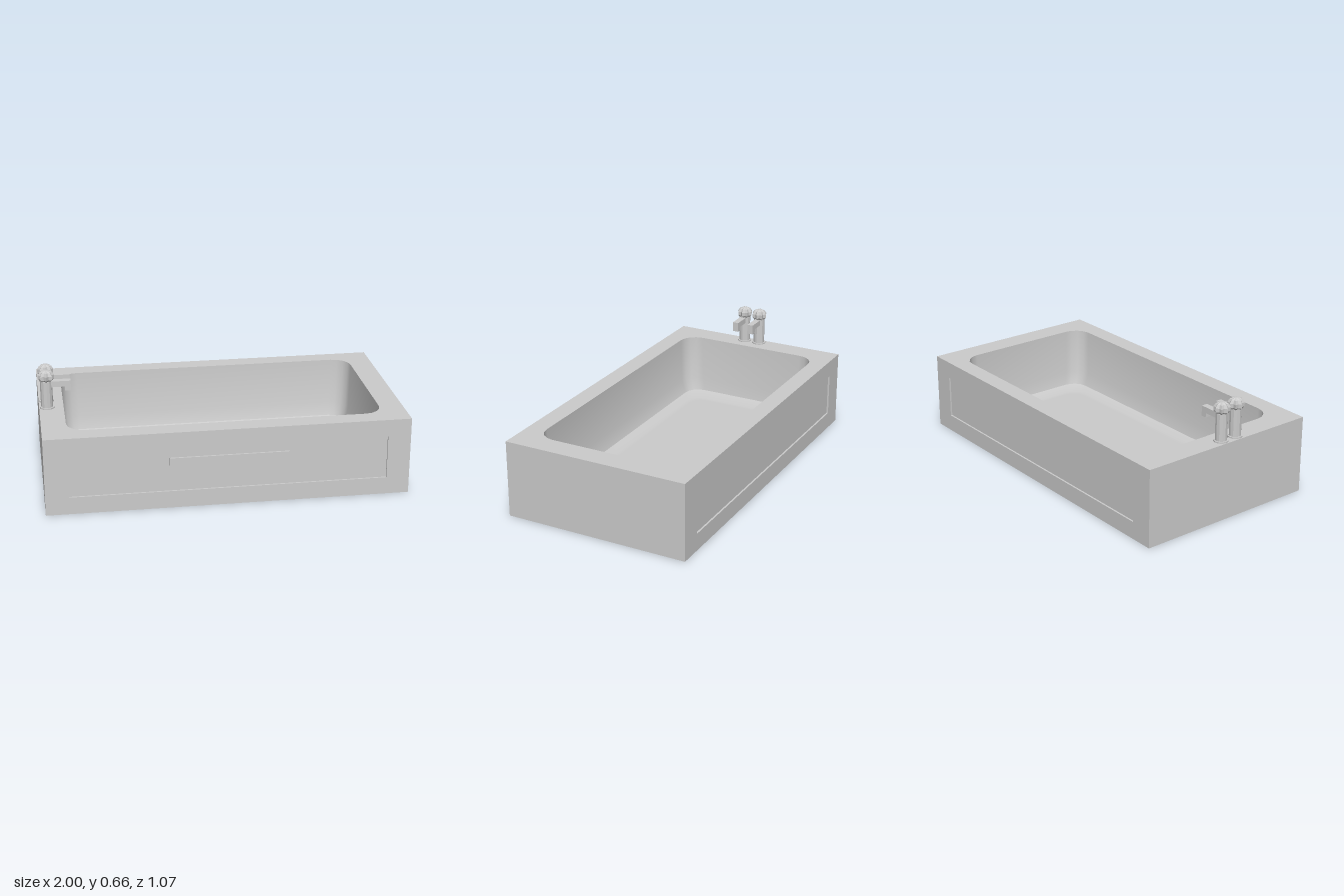
import * as THREE from 'three';
import { toCreasedNormals } from 'three/addons/utils/BufferGeometryUtils.js';

const W = 1, D = 0.535, H = 0.44, RECESS = 0.01;

// Basin cross-sections from the rim down to the floor
const rings = [
  { x0: -0.865, x1: 0.868, z0: -0.435, z1: 0.428, r: 0.1, y: H },
  { x0: -0.86, x1: 0.86, z0: -0.425, z1: 0.418, r: 0.1, y: 0.17 },
  { x0: -0.848, x1: 0.845, z0: -0.4, z1: 0.392, r: 0.09, y: 0.095 },
  { x0: -0.77, x1: 0.78, z0: -0.35, z1: 0.342, r: 0.08, y: 0.075 },
  { x0: -0.74, x1: 0.75, z0: -0.32, z1: 0.312, r: 0.08, y: 0.075 },
];

// Rounded rectangle as a list of [x, z] points
function roundedRect({ x0, x1, z0, z1, r }, seg = 4) {
  const corners = [[x1 - r, z1 - r], [x0 + r, z1 - r], [x0 + r, z0 + r], [x1 - r, z0 + r]];
  const pts = [];
  corners.forEach(([cx, cz], c) => {
    for (let i = 0; i <= seg; i++) {
      const a = (c + i / seg) * Math.PI / 2;
      pts.push([cx + r * Math.cos(a), cz + r * Math.sin(a)]);
    }
  });
  return pts;
}

function rectShape(x0, x1, y0, y1) {
  return new THREE.Shape([[x0, y0], [x1, y0], [x1, y1], [x0, y1]].map(p => new THREE.Vector2(...p)));
}

function basinGeometry() {
  const pos = [], index = [];
  const loops = rings.map(ring => roundedRect(ring));
  const n = loops[0].length;
  loops.forEach((loop, k) => loop.forEach(([x, z]) => pos.push(x, rings[k].y, z)));
  for (let k = 0; k < loops.length - 1; k++) {
    for (let i = 0; i < n; i++) {
      const a = k * n + i, b = k * n + (i + 1) % n;
      index.push(a, b, a + n, b, b + n, a + n);
    }
  }
  // Floor fan
  const last = (loops.length - 1) * n, centre = pos.length / 3;
  pos.push(0, rings[rings.length - 1].y, 0);
  for (let i = 0; i < n; i++) index.push(centre, last + i, last + (i + 1) % n);
  const g = new THREE.BufferGeometry();
  g.setAttribute('position', new THREE.Float32BufferAttribute(pos, 3));
  g.setIndex(index);
  return toCreasedNormals(g, 0.5);
}

export function createModel() {
  const model = new THREE.Group();
  const smooth = new THREE.MeshStandardMaterial({ color: 0xcccccc });
  const inner = new THREE.MeshStandardMaterial({ color: 0xcccccc, side: THREE.DoubleSide });
  const faceted = new THREE.MeshStandardMaterial({ color: 0xcccccc, flatShading: true });
  const add = (parent, name, geo, mat, x = 0, y = 0, z = 0) => {
    const m = new THREE.Mesh(geo, mat);
    m.name = name;
    m.position.set(x, y, z);
    parent.add(m);
    return m;
  };

  // Outer casing, with its top face left out
  const casing = new THREE.BoxGeometry(2 * W, H, 2 * (D - RECESS));
  const idx = Array.from(casing.index.array);
  idx.splice(12, 6);
  casing.setIndex(idx);
  casing.clearGroups();
  add(model, 'casing', casing, smooth, 0, H / 2, 0);

  // Flat rim around the basin opening
  const rim = rectShape(-W, W, -(D - RECESS), D - RECESS);
  rim.holes.push(new THREE.Path(roundedRect(rings[0]).map(([x, z]) => new THREE.Vector2(x, -z))));
  add(model, 'rim', new THREE.ShapeGeometry(rim).rotateX(-Math.PI / 2), smooth, 0, H, 0);

  add(model, 'basin', basinGeometry(), inner);

  // Frames that leave a shallow recessed panel on the front and back
  const frame = rectShape(-W, W, 0, H);
  frame.holes.push(rectShape(-0.872, 0.872, 0.098, 0.342));
  const frameGeo = new THREE.ExtrudeGeometry(frame, { depth: RECESS, bevelEnabled: false });
  add(model, 'frontFrame', frameGeo, smooth, 0, 0, D - RECESS);
  add(model, 'backFrame', frameGeo, smooth, 0, 0, -(D - RECESS)).rotation.y = Math.PI;

  // Raised plaque in the middle of the front panel
  add(model, 'frontPlaque', new THREE.BoxGeometry(0.655, 0.14, RECESS), smooth, 0, 0.221, D - RECESS / 2);

  // Lobed tap knob: a turned profile with every other column pulled inwards
  const profile = [[0, 0.593], [0.03, 0.595], [0.044, 0.61], [0.045, 0.632], [0.034, 0.65], [0.014, 0.659], [0, 0.66]];
  const knob = new THREE.LatheGeometry(profile.map(p => new THREE.Vector2(...p)), 16);
  const kp = knob.attributes.position;
  for (let i = 0; i < kp.count; i++) {
    const column = Math.floor(i / profile.length);
    const s = column % 2 ? 0.74 : 1;
    kp.setXYZ(i, kp.getX(i) * s, kp.getY(i), kp.getZ(i) * s);
  }

  // Spout: an L-shaped bar turned down at its tip
  const spout = new THREE.Shape([[0, 0.565], [0.102, 0.565], [0.102, 0.541], [0.134, 0.541], [0.134, 0.598], [0, 0.598]]
    .map(p => new THREE.Vector2(...p)));
  const spoutGeo = new THREE.ExtrudeGeometry(spout, { depth: 0.036, bevelEnabled: false }).translate(0, 0, -0.018);

  [-0.02, 0.078].forEach((z, i) => {
    const tap = new THREE.Group();
    tap.name = i ? 'frontTap' : 'backTap';
    tap.position.set(-0.955, 0, z);
    add(tap, 'tapBase', new THREE.CylinderGeometry(0.041, 0.041, 0.008, 12), faceted, 0, H + 0.004, 0);
    add(tap, 'tapColumn', new THREE.CylinderGeometry(0.033, 0.033, 0.155, 12), faceted, 0, 0.5225, 0);
    add(tap, 'tapSpout', spoutGeo, smooth);
    add(tap, 'tapKnob', knob, faceted);
    model.add(tap);
  });

  return model;
}
